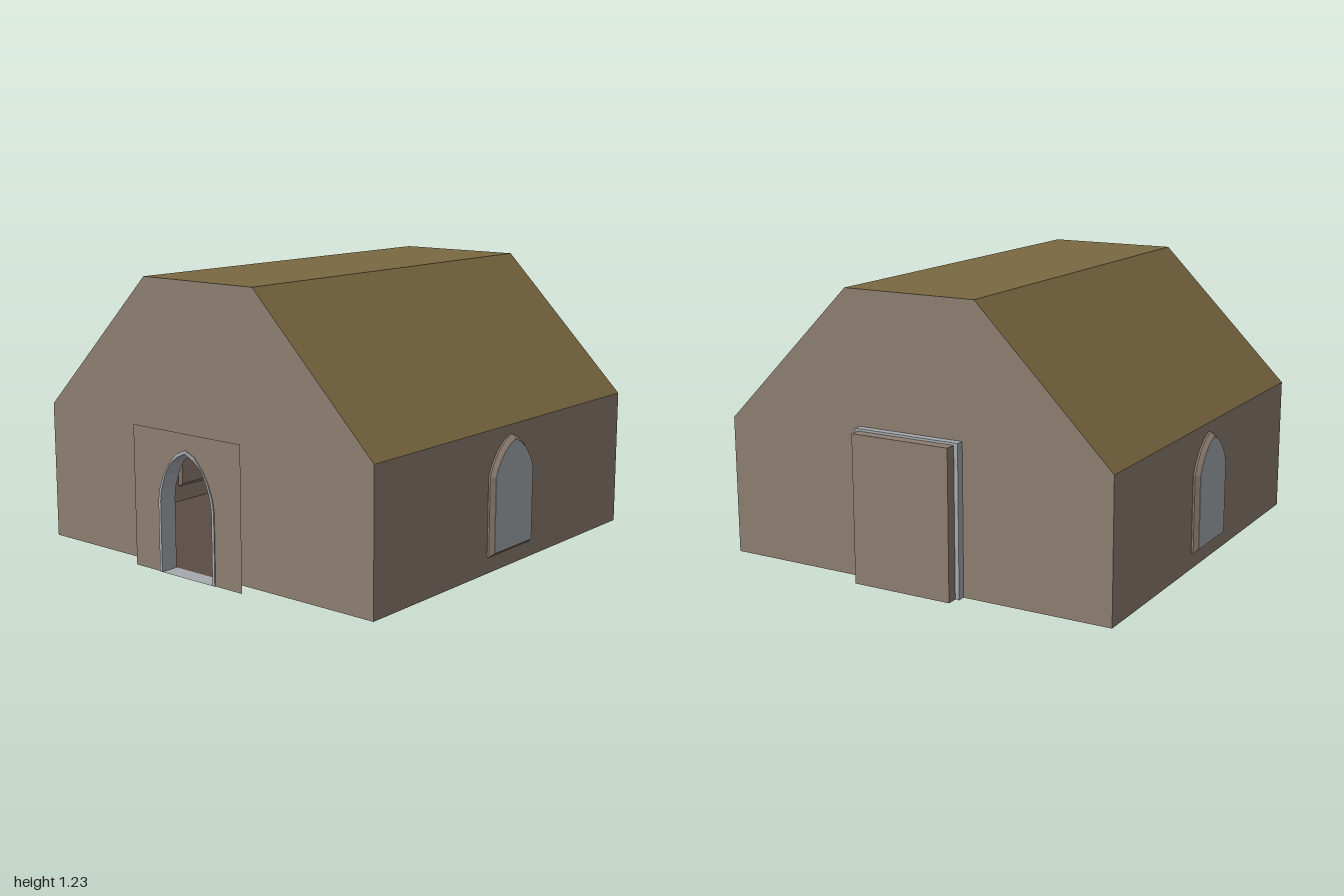
import * as THREE from 'three';

const material = (name, color, side = THREE.FrontSide) => {
  const m = new THREE.MeshStandardMaterial({ color, side });
  m.name = name;
  return m;
};

export function createModel() {
  const group = new THREE.Group();
  const wall = material('brown plaster', 0x8d7d70, THREE.DoubleSide);
  const roof = material('olive roof', 0x7a6840, THREE.DoubleSide);
  const grey = material('grey stone', 0xa6aaaf, THREE.DoubleSide);
  const earth = material('dark floor', 0x5a4c45, THREE.DoubleSide);

  const add = (name, geometry, mat, x = 0, y = 0, z = 0, parent = group) => {
    const mesh = new THREE.Mesh(geometry, mat);
    mesh.name = name;
    mesh.position.set(x, y, z);
    parent.add(mesh);
    return mesh;
  };
  const box = (name, w, h, d, mat, x, y, z, parent) =>
    add(name, new THREE.BoxGeometry(w, h, d), mat, x, y, z, parent);
  const flat = { bevelEnabled: false };

  // Symmetrical pointed outline from the points of its right half, bottom to tip
  const outline = (half) => [
    ...half.map(([x, y]) => new THREE.Vector2(x, y)),
    ...half.slice().reverse().filter(([x]) => x > 0).map(([x, y]) => new THREE.Vector2(-x, y)),
  ];
  const arch = (w, top) => outline([
    [w, 0], [w, 0.31], [w * 0.95, 0.36], [w * 0.81, 0.42], [w * 0.6, 0.475],
    [w * 0.32, top - 0.022], [0, top],
  ]);

  // Hollow shell: section of the building run along z
  const E = 0.917, eave = 0.613, R = 0.307, top = 1.227;
  const section = [[-E, 0], [E, 0], [E, eave], [R, top], [-R, top], [-E, eave]];
  const names = ['floor', 'leftWall', 'leftRoof', 'topRoof', 'rightRoof', 'rightWall'];
  const mats = [earth, wall, roof, roof, roof, wall];
  section.forEach(([ax, ay], i) => {
    const [bx, by] = section[(i + 1) % section.length];
    const g = new THREE.BufferGeometry();
    g.setAttribute('position', new THREE.Float32BufferAttribute(
      [ax, ay, E, ax, ay, -E, bx, by, -E, bx, by, E], 3));
    g.setIndex([0, 1, 2, 0, 2, 3]);
    g.computeVertexNormals();
    add(names[i], g, mats[i]);
  });

  // Gables, the front one pierced by the doorway
  const corners = section.map(([x, y]) => new THREE.Vector2(x, y));
  const frontShape = new THREE.Shape(corners);
  frontShape.holes.push(new THREE.Path(arch(0.16, 0.545)));
  add('frontGable', new THREE.ShapeGeometry(frontShape), wall, 0, 0, E);
  add('backGable', new THREE.ShapeGeometry(new THREE.Shape(corners)), wall, 0, 0, -E)
    .rotation.y = Math.PI;

  // Free-standing sheet around the front doorway
  const sheet = new THREE.Shape(
    [[-R, 0], [R, 0], [R, eave], [-R, eave]].map(([x, y]) => new THREE.Vector2(x, y)));
  sheet.holes.push(new THREE.Path(arch(0.16, 0.545)));
  add('doorwayPanel', new THREE.ShapeGeometry(sheet), wall, 0, 0, 0.995);

  // Stone arch lining the doorway
  const lining = new THREE.Shape(arch(0.16, 0.545));
  lining.holes.push(new THREE.Path(arch(0.147, 0.53)));
  add('doorwayArch', new THREE.ExtrudeGeometry(lining, { depth: 0.083, ...flat }), grey, 0, 0, E);

  // Panelled double door on the inside of the back wall
  const door = new THREE.Group();
  door.name = 'innerDoor';
  group.add(door);
  box('doorBacking', 0.46, 0.63, 0.006, grey, 0, 0.318, -0.905, door);
  for (const s of [-1, 1]) {
    const leaf = new THREE.Shape();
    leaf.moveTo(0.004, 0.003).lineTo(0.228, 0.003).lineTo(0.228, 0.635).lineTo(0.004, 0.635);
    for (const x of [0.024, 0.125]) for (let row = 0; row < 4; row++) {
      const y = 0.09 + row * 0.124;
      leaf.holes.push(new THREE.Path().moveTo(x, y).lineTo(x + 0.078, y)
        .lineTo(x + 0.078, y + 0.084).lineTo(x, y + 0.084));
      box('doorSquare', 0.06, 0.066, 0.012, grey, s * (x + 0.039), y + 0.042, -0.898, door);
    }
    const g = new THREE.ExtrudeGeometry(leaf, { depth: 0.014, ...flat });
    if (s < 0) g.rotateY(Math.PI).translate(0, 0, 0.014);
    add('doorLeaf', g, grey, 0, 0, -0.902, door);
    box('doorHandle', 0.008, 0.07, 0.015, grey, s * 0.012, 0.27, -0.882, door);
  }

  // Back doorway block with its stone surround
  box('backSurround', 0.496, 0.655, 0.036, grey, 0, 0.3275, -0.934);
  box('backBlock', 0.46, 0.645, 0.06, wall, 0, 0.3225, -0.97);

  // Chamfered pointed windows on both side walls
  const windowHalf = [[0.14, 0.09], [0.14, 0.415], [0.122, 0.455], [0.085, 0.505], [0.04, 0.54], [0, 0.557]];
  const windowShape = new THREE.Shape(outline(windowHalf));
  for (const s of [-1, 1]) {
    const win = new THREE.Group();
    win.name = s > 0 ? 'leftWindow' : 'rightWindow';
    win.position.x = s * E;
    win.rotation.y = s * Math.PI / 2;
    group.add(win);
    add('windowFrame', new THREE.ExtrudeGeometry(windowShape, {
      depth: 0.008, bevelThickness: 0.017, bevelSize: 0.017, bevelSegments: 1,
    }), wall, 0, 0, 0.003, win);
    add('windowPane', new THREE.ExtrudeGeometry(windowShape, { depth: 0.004, ...flat }),
      grey, 0, 0, 0.026, win);
  }
  return group;
}
